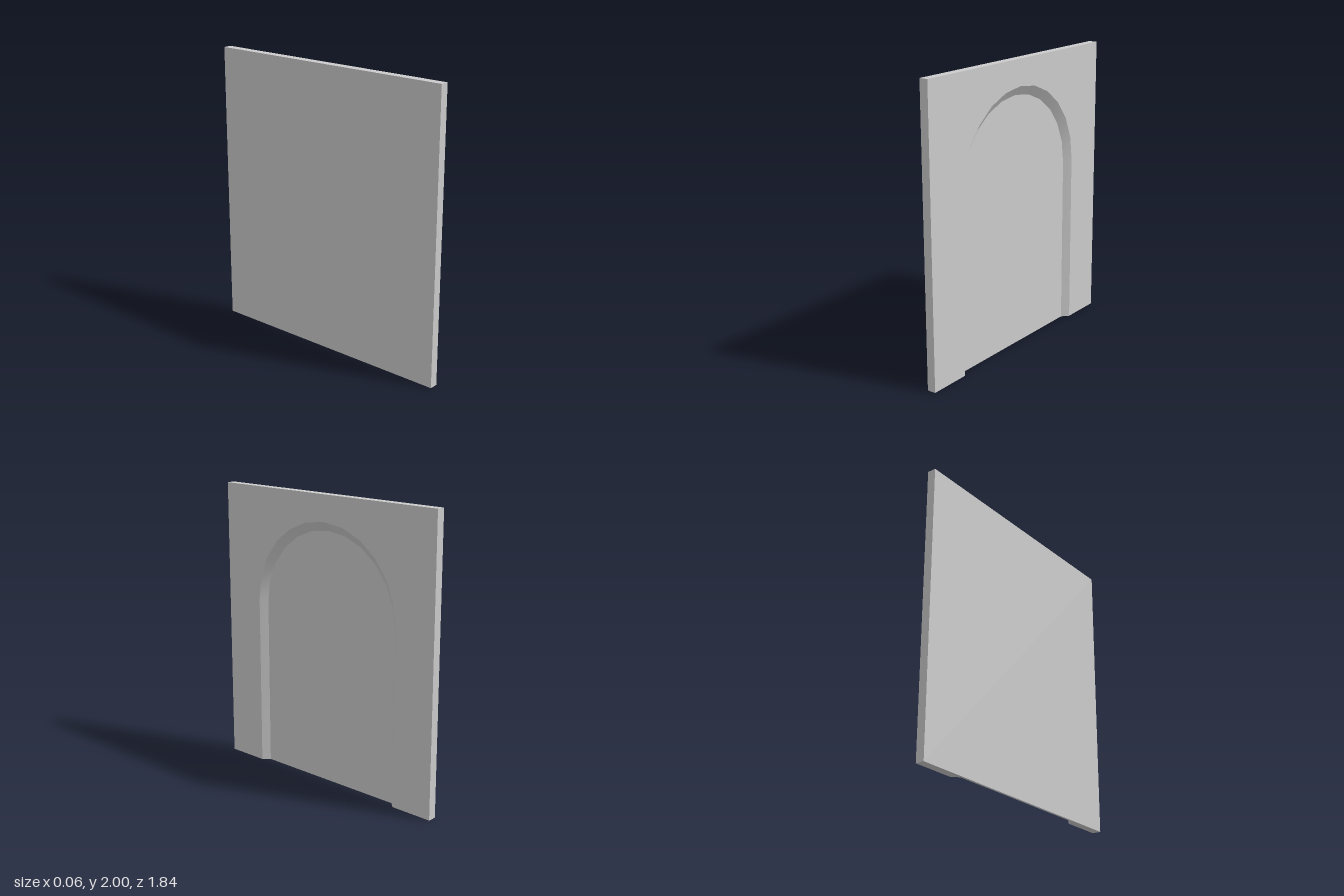
import * as THREE from 'three';
import { toCreasedNormals } from 'three/addons/utils/BufferGeometryUtils.js';

const WIDTH = 1.84, HEIGHT = 2, THICK = 0.06, DEPTH = 0.043;
// Arch outline at the bottom of the recess and at the face of the panel
const INNER = { rx: 0.573, ry: 0.567, spring: 1.19 };
const OUTER = { rx: 0.617, ry: 0.61, spring: 1.21 };
const ARC_SEGMENTS = 12;

// Surround with an arched opening whose edge splays outward towards the face
function surroundGeometry() {
  const w = WIDTH / 2;
  const points = [[-w, 0], [-INNER.rx, 0]];
  for (let i = 0; i <= ARC_SEGMENTS; i++) {
    const a = Math.PI * (1 - i / ARC_SEGMENTS);
    points.push([INNER.rx * Math.cos(a), INNER.spring + INNER.ry * Math.sin(a)]);
  }
  points.push([INNER.rx, 0], [w, 0], [w, HEIGHT], [-w, HEIGHT]);
  const shape = new THREE.Shape(points.map(([x, y]) => new THREE.Vector2(x, y)));
  const geometry = new THREE.ExtrudeGeometry(shape, { depth: DEPTH, bevelEnabled: false });

  // Widen the opening on the face side to form the sloping reveal
  const pos = geometry.attributes.position;
  for (let i = 0; i < pos.count; i++) {
    const x = pos.getX(i), y = pos.getY(i);
    if (pos.getZ(i) < DEPTH / 2 || Math.abs(x) > w - 0.1 || y > HEIGHT - 0.1) continue;
    pos.setX(i, x * OUTER.rx / INNER.rx);
    if (y > 0.1) pos.setY(i, OUTER.spring + (y - INNER.spring) * OUTER.ry / INNER.ry);
  }
  geometry.rotateY(Math.PI / 2);
  return toCreasedNormals(geometry, Math.PI / 6);
}

export function createModel() {
  const group = new THREE.Group();
  group.name = 'archedPanel';
  const material = new THREE.MeshStandardMaterial({ color: 0xcccccc });

  // Thin flat sheet closing the back of the recess
  const backThick = THICK - DEPTH;
  const back = new THREE.Mesh(new THREE.BoxGeometry(backThick, HEIGHT, WIDTH), material);
  back.name = 'backPanel';
  back.position.set(-THICK / 2 + backThick / 2, HEIGHT / 2, 0);

  // Raised surround on the +x side
  const surround = new THREE.Mesh(surroundGeometry(), material);
  surround.name = 'archSurround';
  surround.position.x = THICK / 2 - DEPTH;

  group.add(back, surround);
  return group;
}
